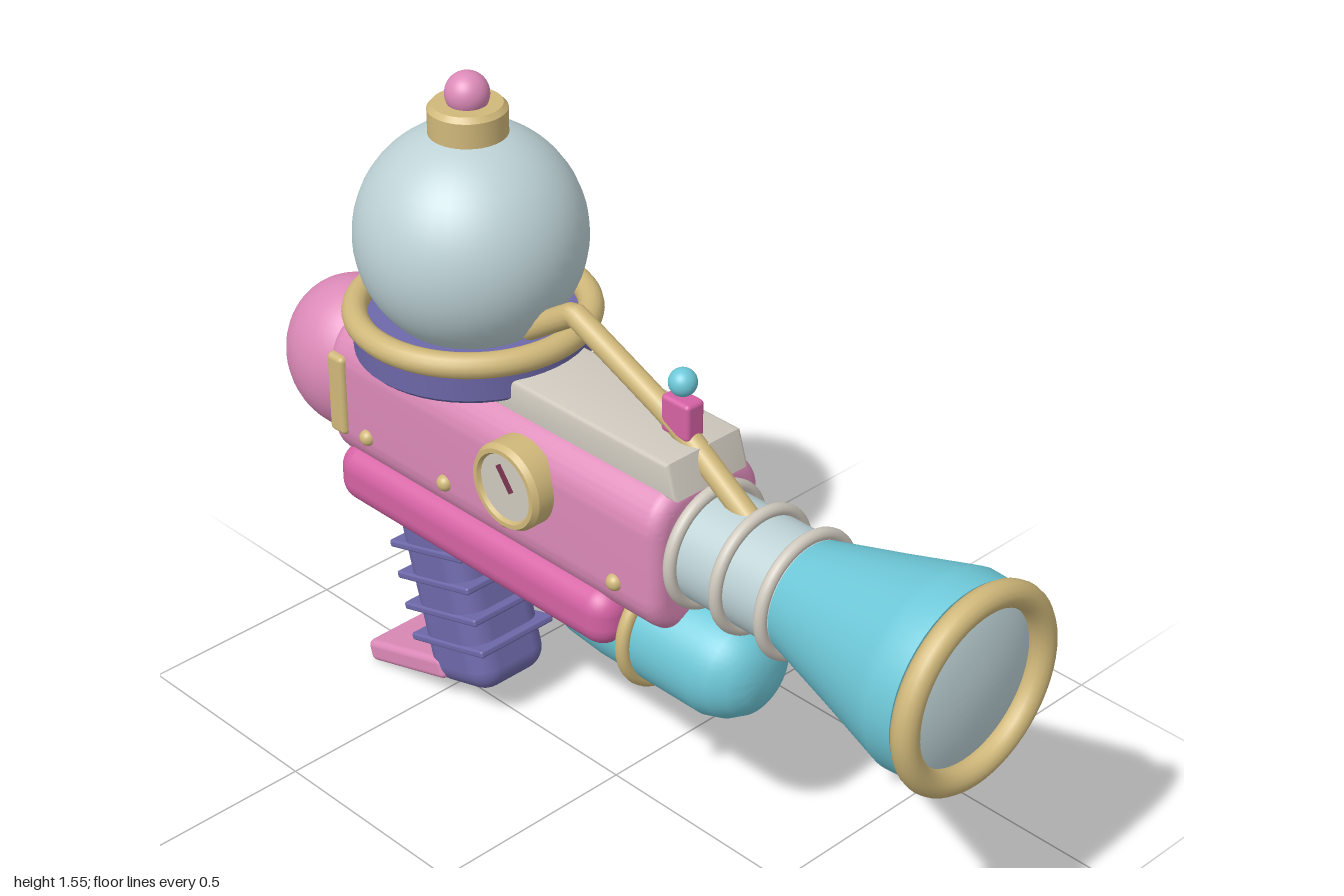
import * as THREE from 'three';
import { toCreasedNormals } from 'three/addons/utils/BufferGeometryUtils.js';
import { RoundedBoxGeometry } from 'three/addons/geometries/RoundedBoxGeometry.js';

const mat = (name, color) => new THREE.MeshStandardMaterial({ name, color });

export function createModel() {
  const root = new THREE.Group();
  root.name = 'toyRayBlaster';
  const pink = mat('pink', 0xdc8ab8), magenta = mat('magenta', 0xd562a4);
  const teal = mat('teal', 0x6ec8d8), brass = mat('brass', 0xd0b87a);
  const purple = mat('purple', 0x6e69aa), glass = mat('paleGlass', 0xbdd2d6);
  const beige = mat('warmGrey', 0xcfc9be), dark = mat('needleRed', 0x7a3550);

  const add = (name, geo, material, x = 0, y = 0, z = 0, parent = root) => {
    const m = new THREE.Mesh(geo, material);
    m.name = name;
    m.position.set(x, y, z);
    parent.add(m);
    return m;
  };
  const box = (w, h, d, r) => new RoundedBoxGeometry(w, h, d, 5, r);
  const ball = (r) => new THREE.SphereGeometry(r, 40, 28);
  // profile points are [radius, height]
  const lathe = (pts) => toCreasedNormals(
    new THREE.LatheGeometry(pts.map(([r, h]) => new THREE.Vector2(r, h)), 48), 0.55);
  const latheX = (pts) => lathe(pts).rotateZ(-Math.PI / 2);
  const ringX = (r, t) => new THREE.TorusGeometry(r, t, 14, 56).rotateY(Math.PI / 2);
  const tube = (pts, r, tension) => new THREE.TubeGeometry(new THREE.CatmullRomCurve3(
    pts.map(([x, y]) => new THREE.Vector3(x, y, 0)), false, 'catmullrom', tension), 64, r, 14);

  // Body: rounded section swept along x
  const bevel = 0.035, hw = 0.155 - bevel, hh = 0.175 - bevel, cr = 0.065;
  const s = new THREE.Shape();
  s.moveTo(-hw + cr, -hh);
  s.absarc(hw - cr, -hh + cr, cr, -Math.PI / 2, 0);
  s.absarc(hw - cr, hh - cr, cr, 0, Math.PI / 2);
  s.absarc(-hw + cr, hh - cr, cr, Math.PI / 2, Math.PI);
  s.absarc(-hw + cr, -hh + cr, cr, Math.PI, Math.PI * 1.5);
  const bodyLength = 1.02;
  const bodyGeo = new THREE.ExtrudeGeometry(s, {
    depth: bodyLength - 2 * bevel, bevelEnabled: true, bevelSize: bevel,
    bevelThickness: bevel, bevelSegments: 5, curveSegments: 10,
  });
  bodyGeo.translate(0, 0, -bodyLength / 2 + bevel).rotateY(Math.PI / 2);
  add('body', toCreasedNormals(bodyGeo, 0.6), pink, -0.24, 0.738);
  add('rearBulb', ball(0.175), pink, -0.825, 0.74).scale.set(1, 1.03, 0.9);
  add('lowerBumper', box(0.865, 0.14, 0.345, 0.055), magenta, -0.293, 0.546);

  // Top plate with sloped ends
  const plateShape = new THREE.Shape([[-0.28, 0.9], [0.265, 0.9], [0.245, 0.96], [-0.2, 0.96]]
    .map(([x, y]) => new THREE.Vector2(x, y)));
  const plateGeo = new THREE.ExtrudeGeometry(plateShape, {
    depth: 0.19, bevelEnabled: true, bevelSize: 0.01, bevelThickness: 0.01, bevelSegments: 3,
  }).translate(0, 0, -0.095);
  add('topPlate', toCreasedNormals(plateGeo, 0.6), beige);

  // Side details, the same on both sides
  for (const side of [1, -1]) {
    const g = new THREE.Group();
    g.name = side > 0 ? 'frontSideDetails' : 'backSideDetails';
    if (side < 0) g.rotation.y = Math.PI;
    root.add(g);
    for (const x of [-0.62, -0.365, -0.17, 0.155])
      add('rivet', ball(0.019), brass, x * side, 0.67, 0.153, g);
    add('sideStrap', box(0.052, 0.195, 0.03, 0.012), brass, -0.71 * side, 0.745, 0.152, g);
    const gauge = new THREE.Group();
    gauge.name = 'gauge';
    gauge.position.set(-0.12 * side, 0.79, 0.14);
    g.add(gauge);
    add('gaugeRim', lathe([[0.098, 0], [0.098, 0.055], [0.09, 0.068], [0.08, 0.068], [0.075, 0.058]])
      .rotateX(Math.PI / 2), brass, 0, 0, 0, gauge);
    add('gaugeFace', new THREE.CircleGeometry(0.08, 40), beige, 0, 0, 0.059, gauge);
    add('gaugeNeedle', new THREE.BoxGeometry(0.01, 0.065, 0.006), dark, 0, 0.022, 0.062, gauge)
      .rotation.z = 0.65;
  }

  // Dome
  const dx = -0.435;
  add('domeBase', lathe([[0, 0.92], [0.245, 0.92], [0.255, 0.93], [0.258, 1], [0, 1]]), purple, dx);
  add('domeRing', new THREE.TorusGeometry(0.25, 0.028, 14, 64).rotateX(Math.PI / 2), brass, dx, 1.012);
  add('domeGlobe', ball(0.248), glass, dx, 1.187);
  add('domeCap', lathe([[0, 1.38], [0.084, 1.38], [0.084, 1.475], [0.074, 1.486], [0, 1.486]]), brass, dx);
  add('domeKnob', ball(0.047), pink, dx, 1.506);

  // Feed pipe and sight
  add('feedPipe', tube([[-0.26, 1.03], [-0.13, 1.115], [-0.11, 1.115], [0.13, 1.012],
    [0.21, 0.97], [0.41, 0.838]], 0.026, 0.15), brass);
  add('sightPost', box(0.078, 0.085, 0.05, 0.01), magenta, 0.19, 1.016);
  add('sightBead', ball(0.03), teal, 0.19, 1.092);

  // Barrel and muzzle
  const by = 0.755;
  add('barrel', latheX([[0, 0.2], [0.122, 0.2], [0.122, 0.57], [0, 0.57]]), glass, 0, by);
  for (const x of [0.288, 0.415, 0.537]) add('barrelRing', ringX(0.13, 0.014), beige, x, by);
  add('muzzleCone', latheX([[0, 0.55], [0.122, 0.55], [0.168, 0.72], [0.208, 0.86], [0.215, 0.885],
    [0.212, 0.945], [0, 0.945]]), teal, 0, by);
  add('muzzleRing', ringX(0.198, 0.028), brass, 0.972, by);
  add('muzzleLens', latheX([[0.19, 0.952], [0.15, 0.966], [0.1, 0.976], [0.05, 0.982], [0, 0.984]]),
    glass, 0, by);

  // Fuel tank under the body
  const ty = 0.496;
  add('fuelTank', latheX([[0, -0.1], [0.085, -0.1], [0.12, -0.045], [0.127, 0.05], [0.127, 0.34],
    [0.115, 0.38], [0.092, 0.415], [0.06, 0.435], [0, 0.44]]), teal, 0, ty);
  add('tankBand', ringX(0.131, 0.016), brass, 0.155, ty);
  add('hose', tube([[-0.275, 0.45], [-0.24, 0.39], [-0.16, 0.358], [-0.085, 0.385], [-0.05, 0.43]],
    0.014, 0.5), purple);
  add('hoseNozzle', lathe([[0, -0.05], [0.02, -0.05], [0.026, -0.035], [0.022, -0.01], [0.022, 0.06], [0, 0.06]]),
    brass, -0.262, 0.475).rotation.z = -0.4;

  // Ribbed grip with a foot
  const grip = new THREE.Group();
  grip.name = 'grip';
  grip.position.set(-0.468, 0.3, 0);
  grip.rotation.z = 0.28;
  root.add(grip);
  add('gripCore', box(0.205, 0.47, 0.208, 0.055), purple, 0, 0, 0, grip);
  for (let i = 0; i < 5; i++)
    add('gripRib', box(0.25, 0.018, 0.216, 0.006), purple, 0, -0.12 + i * 0.077, 0, grip);
  add('gripFoot', box(0.27, 0.053, 0.214, 0.015), pink, -0.585, 0.067).rotation.z = 0.29;

  return root;
}
